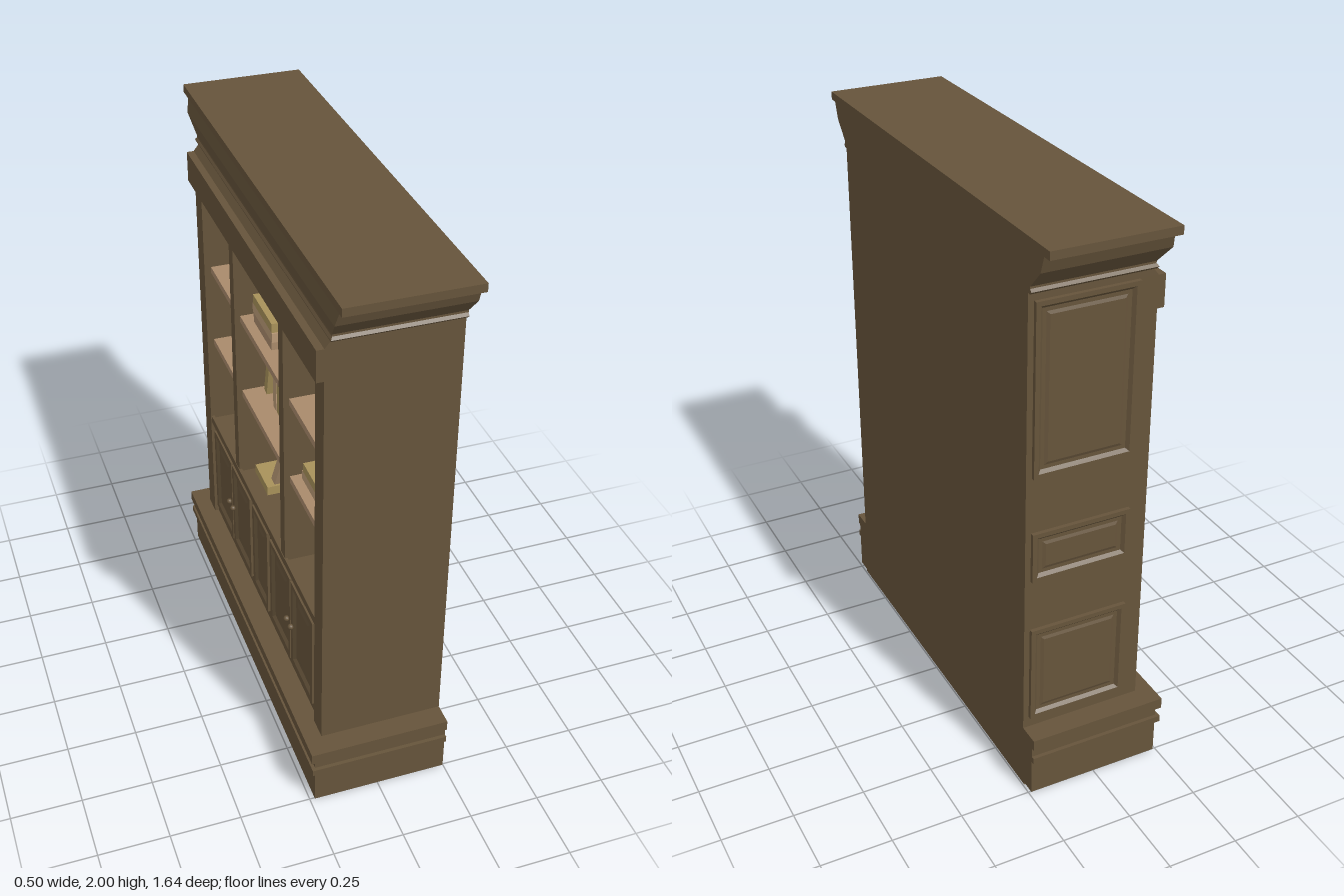
import * as THREE from 'three';

const mat = (name, color) => {
  const m = new THREE.MeshStandardMaterial({ color });
  m.name = name;
  return m;
};

// Stacks rectangular rings [x0, x1, z0, z1, y] into a capped, hard-edged solid
function loft(rings) {
  const pos = [];
  const corners = ([x0, x1, z0, z1, y]) => [[x0, y, z0], [x0, y, z1], [x1, y, z1], [x1, y, z0]];
  const quad = (a, b, c, d) => pos.push(...a, ...b, ...c, ...a, ...c, ...d);
  const c = rings.map(corners);
  for (let r = 0; r < c.length - 1; r++) {
    for (let i = 0; i < 4; i++) {
      const j = (i + 1) % 4;
      quad(c[r][i], c[r][j], c[r + 1][j], c[r + 1][i]);
    }
  }
  const t = c[c.length - 1], b = c[0];
  quad(t[0], t[1], t[2], t[3]);
  quad(b[3], b[2], b[1], b[0]);
  const g = new THREE.BufferGeometry();
  g.setAttribute('position', new THREE.Float32BufferAttribute(pos, 3));
  g.computeVertexNormals();
  return g;
}

export function createModel() {
  const root = new THREE.Group();
  root.name = 'bookcase';
  const wood = mat('dark wood', 0x66543b);
  const shelfWood = mat('shelf wood', 0xa98a6b);
  const gold = mat('gold cover', 0xa8915a);
  const tan = mat('tan cover', 0xba9a77);
  const BACK = 0.245, FRONT = -0.19;

  const add = (name, geo, material = wood, parent = root) => {
    const m = new THREE.Mesh(geo, material);
    m.name = name;
    parent.add(m);
    return m;
  };
  const box = (name, x0, x1, y0, y1, z0, z1, material = wood) => {
    const m = add(name, new THREE.BoxGeometry(x1 - x0, y1 - y0, z1 - z0), material);
    m.position.set((x0 + x1) / 2, (y0 + y1) / 2, (z0 + z1) / 2);
    return m;
  };
  // Moulding rings given as [y, half width, front x], flush at the back
  const moulding = (name, profile) =>
    add(name, loft(profile.map(([y, w, f]) => [f, BACK, -w, w, y])));

  // Base with two projecting bands
  moulding('base', [
    [0, 0.71, -0.18], [0.01, 0.71, -0.18], [0.01, 0.762, -0.235],
    [0.142, 0.762, -0.235], [0.142, 0.775, -0.247], [0.165, 0.775, -0.247],
    [0.165, 0.762, -0.235], [0.2, 0.762, -0.235], [0.2, 0.775, -0.25], [0.24, 0.775, -0.25],
  ]);

  // Crown flaring towards both ends
  moulding('crown', [
    [1.8, 0.698, -0.19], [1.828, 0.698, -0.168], [1.828, 0.71, -0.175], [1.836, 0.718, -0.178],
    [1.845, 0.71, -0.172], [1.852, 0.71, -0.172], [1.915, 0.77, -0.187],
    [1.972, 0.79, -0.178], [1.972, 0.822, -0.185], [2, 0.822, -0.185],
  ]);

  // Carcass
  for (const s of [-1, 1]) {
    const z = [s * 0.62, s * 0.698].sort((a, b) => a - b);
    box('side', FRONT, BACK, 0.24, 1.8, z[0], z[1]);
    const d = [s * 0.25, s * 0.295].sort((a, b) => a - b);
    box('divider', -0.185, 0.2, 0.7, 1.64, d[0], d[1]);
  }
  box('back', 0.2, BACK, 0.24, 1.8, -0.62, 0.62);
  box('header', FRONT, 0.2, 1.64, 1.8, -0.62, 0.62);
  box('lintel', -0.215, FRONT, 1.69, 1.8, -0.698, 0.698);
  box('cupboard', -0.175, 0.2, 0.24, 0.7, -0.62, 0.62);
  box('cupboardTop', -0.187, -0.175, 0.68, 0.71, -0.62, 0.62);

  // Shelves in each bay
  for (const y of [1.06, 1.37]) {
    for (const [a, b] of [[-0.62, -0.295], [-0.25, 0.25], [0.295, 0.62]]) {
      box('shelf', -0.165, 0.2, y - 0.025, y, a, b, shelfWood);
    }
  }

  // Raised frame around a sunken field, built facing up
  const panel = (a0, a1, b0, b1, h, w) => loft(
    [[0, 0], [0, h], [w * 0.6, h], [w, h * 0.25], [w * 1.5, h * 0.25], [w * 1.9, h * 0.55]]
      .map(([i, y]) => [a0 + i, a1 - i, b0 + i, b1 - i, y]));

  // Panels on the end wall
  for (const [y0, y1] of [[0.28, 0.64], [0.83, 1.01], [1.21, 1.8]]) {
    const p = add('endPanel', panel(-0.125, 0.225, y0, y1, 0.014, 0.026));
    p.rotation.x = -Math.PI / 2;
    p.position.z = -0.698;
  }

  // Cupboard doors
  for (const [z0, z1] of [[-0.59, -0.36], [-0.35, -0.12], [-0.09, 0.09], [0.12, 0.35], [0.36, 0.59]]) {
    const p = add('door', panel(0.29, 0.66, z0, z1, 0.012, 0.035));
    p.rotation.z = Math.PI / 2;
    p.position.x = -0.175;
  }
  for (const z of [-0.378, -0.332, 0.332, 0.378]) {
    const k = add('knob', new THREE.SphereGeometry(0.011, 12, 8));
    k.position.set(-0.194, 0.467, z);
  }

  // Books: [z, shelf height, height, thickness, depth, lean, cover]
  const F = 0.7, M = 1.06, T = 1.37;
  const books = [
    [-0.53, F, 0.22, 0.03, 0.18, 0, tan], [-0.49, F, 0.24, 0.03, 0.18, 0, shelfWood],
    [-0.45, F, 0.21, 0.035, 0.17, 0, tan], [-0.38, F, 0.22, 0.03, 0.18, -0.15, gold],
    [-0.55, M, 0.21, 0.03, 0.18, 0, gold], [-0.51, M, 0.23, 0.035, 0.18, 0, tan],
    [-0.46, M, 0.2, 0.03, 0.17, 0, shelfWood],
    [-0.54, T, 0.22, 0.03, 0.18, 0.35, tan], [-0.46, T, 0.21, 0.03, 0.18, 0.35, gold],
    [-0.12, F, 0.24, 0.035, 0.2, 0.5, tan], [0.0, F, 0.22, 0.03, 0.2, 0.5, shelfWood],
    [-0.21, M, 0.22, 0.03, 0.18, 0.25, gold], [-0.1, M, 0.23, 0.035, 0.18, 0, tan],
    [-0.06, M, 0.21, 0.03, 0.18, 0, gold], [-0.02, M, 0.24, 0.035, 0.18, 0, tan],
    [0.02, M, 0.2, 0.03, 0.17, 0, shelfWood], [0.06, M, 0.22, 0.03, 0.18, 0, tan],
    [0.14, T, 0.2, 0.03, 0.18, -0.4, shelfWood], [0.19, T, 0.2, 0.03, 0.18, -0.4, tan],
    [0.35, F, 0.2, 0.03, 0.18, 0, gold], [0.39, F, 0.21, 0.03, 0.18, 0, tan],
    [0.46, F, 0.2, 0.03, 0.18, -0.3, tan], [0.5, F, 0.17, 0.03, 0.18, -0.3, shelfWood],
    [0.54, F, 0.14, 0.03, 0.18, -0.3, tan],
    [0.36, T, 0.22, 0.03, 0.18, 0.4, gold], [0.42, T, 0.21, 0.03, 0.18, 0.4, tan],
    [0.55, T, 0.2, 0.04, 0.18, 0, tan],
  ];
  for (const [z, y, h, t, d, lean, cover] of books) {
    const geo = new THREE.BoxGeometry(d, h, t).translate(0, h / 2, 0);
    const b = add('book', geo, cover);
    b.rotation.x = lean;
    b.position.set(0, y + Math.abs(Math.sin(lean)) * t / 2, z);
  }
  // Books lying flat: [z, bottom, width, cover]
  for (const [z, y, w, cover] of [
    [-0.1, T, 0.2, shelfWood], [-0.1, T + 0.035, 0.22, tan], [-0.1, T + 0.07, 0.21, gold],
    [-0.15, F + 0.001, 0.15, gold], [0.42, M, 0.2, tan], [0.42, M + 0.035, 0.18, gold],
  ]) {
    box('flatBook', -0.13, 0.07, y, y + 0.035, z - w / 2, z + w / 2, cover);
  }
  return root;
}
